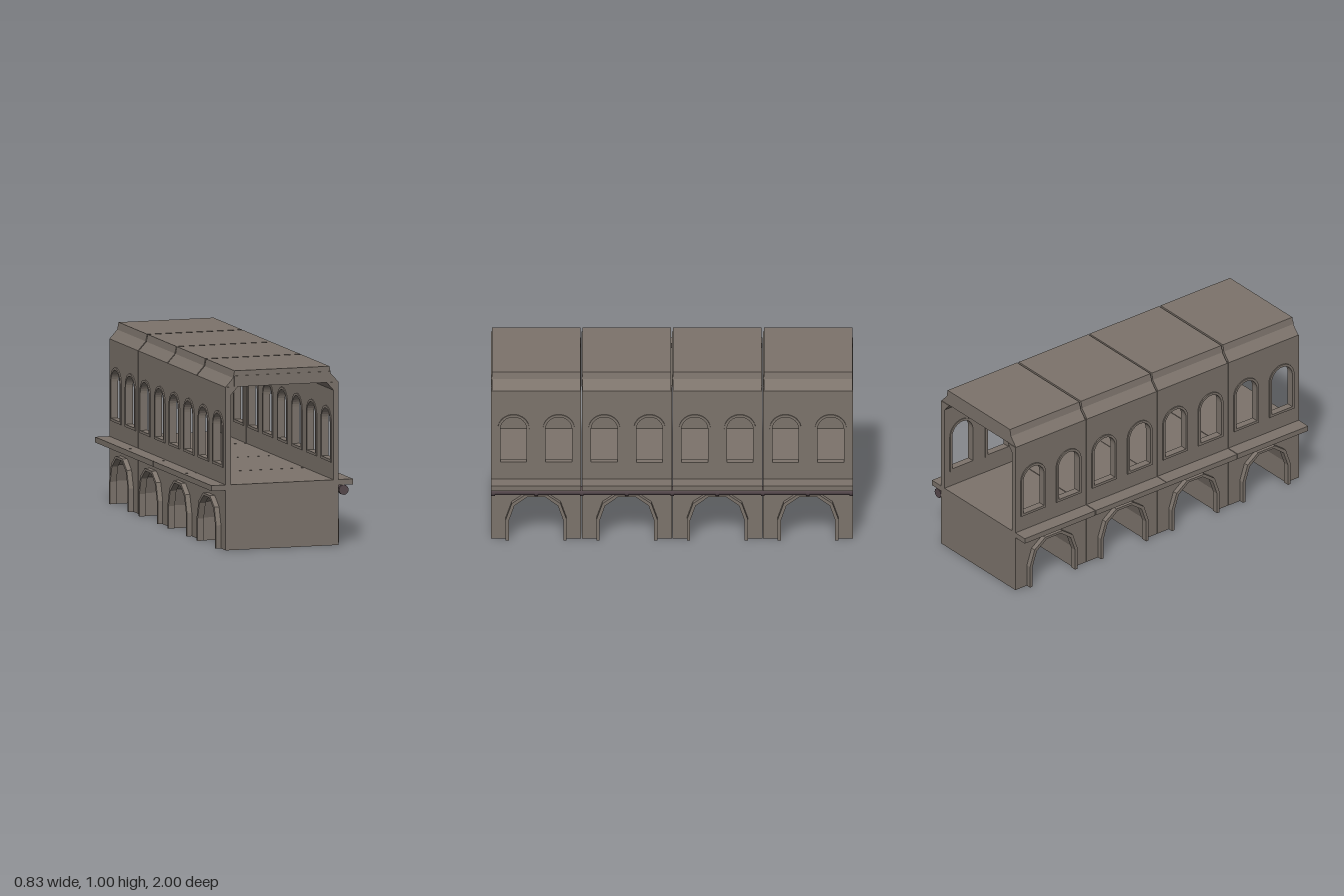
import * as THREE from 'three';

const stone = new THREE.MeshStandardMaterial({ color: 0x7c736b });
stone.name = 'weathered stone';
const iron = new THREE.MeshStandardMaterial({ color: 0x56494d });
iron.name = 'dark iron';
const timber = new THREE.MeshStandardMaterial({ color: 0x3a2416 });
timber.name = 'dark timber';
const liner = stone.clone();
liner.name = 'stone lining';
liner.side = THREE.DoubleSide;

const BAY = 0.5, LEN = 0.497;

const poly = (pts, Kind = THREE.Shape) => new Kind(pts.map(([x, y]) => new THREE.Vector2(x, y)));
// closes a half outline (x > 0, listed upwards) with its mirror image
const mirrored = (half) => [...half, ...half.slice().reverse().map(([x, y]) => [-x, y])];

function add(group, name, geometry, material, x = 0, y = 0, z = 0) {
  const mesh = new THREE.Mesh(geometry, material);
  mesh.name = name;
  mesh.position.set(x, y, z);
  group.add(mesh);
  return mesh;
}

// extrudes a shape centred on its depth; alongX turns the depth to the x axis
function extrude(shape, depth, alongX = false) {
  const g = new THREE.ExtrudeGeometry(shape, { depth, bevelEnabled: false, curveSegments: 8 });
  g.translate(0, 0, -depth / 2);
  if (alongX) g.rotateY(Math.PI / 2);
  return g;
}

// round-headed window outline
function windowOutline(Kind, u, r, bottom, spring) {
  const s = new Kind();
  s.moveTo(u - r, bottom);
  s.lineTo(u + r, bottom);
  s.lineTo(u + r, spring);
  s.absarc(u, spring, r, 0, Math.PI, false);
  s.lineTo(u - r, bottom);
  return s;
}

const archInner = [[0.15, 0], [0.15, 0.125], [0.12, 0.215], [0.05, 0.268]];
const archVault = [[0.158, 0], [0.158, 0.128], [0.127, 0.222], [0.055, 0.275]];
const archOuter = [[0.168, 0], [0.168, 0.13], [0.135, 0.228], [0.06, 0.282]];
const roofHalf = [[0.33, 0.91], [0.285, 0.96], [0.277, 1]];

function makeBay() {
  const bay = new THREE.Group();
  const h = LEN / 2;

  // arched base carrying the deck
  const base = poly([[-h, 0], [-0.158, 0],
    ...mirrored(archVault).reverse().slice(1, -1), [0.158, 0], [h, 0], [h, 0.365], [-h, 0.365]]);
  add(bay, 'archedBase', extrude(base, 0.66, true), stone);

  // raised band around each arch mouth
  const band = poly([...mirrored(archOuter), ...mirrored(archInner).reverse()]);
  const bandGeo = extrude(band, 0.036, true);

  // side wall with two windows
  const wall = poly([[-h, 0.365], [h, 0.365], [h, 0.91], [-h, 0.91]]);
  for (const u of [-0.125, 0.125]) wall.holes.push(windowOutline(THREE.Path, u, 0.08, 0.465, 0.678));
  const wallGeo = extrude(wall, 0.03, true);

  const frame = windowOutline(THREE.Shape, 0, 0.087, 0.458, 0.678);
  frame.holes.push(windowOutline(THREE.Path, 0, 0.0725, 0.473, 0.678));
  const frameGeo = extrude(frame, 0.042, true);

  for (const s of [-1, 1]) {
    add(bay, 'archBand', bandGeo, stone, s * 0.34);
    add(bay, 'sideWall', wallGeo, stone, s * 0.315);
    add(bay, 'ledge', new THREE.BoxGeometry(0.084, 0.031, LEN), stone, s * 0.371, 0.35);
    for (const u of [-0.125, 0.125]) add(bay, 'windowFrame', frameGeo, stone, s * 0.316, 0, u);
    // chamfer where the wall meets the ceiling
    const brace = poly([[s * 0.3, 0.865], [s * 0.3, 0.91], [s * 0.26, 0.91]]);
    add(bay, 'ceilingBrace', extrude(brace, LEN), stone);
  }

  // roof: solid cross beams at the ends, a hollowed section between them
  const roofLen = 0.49, wellX = 0.25, wellZ = 0.195, beam = roofLen / 2 - wellZ;
  const solid = extrude(poly(mirrored(roofHalf)), beam);
  for (const s of [-1, 1]) add(bay, 'roofBeam', solid, stone, 0, 0, s * (wellZ + beam / 2));
  const hollow = poly([...mirrored(roofHalf),
    [-wellX, 0.91], [-wellX, 0.975], [wellX, 0.975], [wellX, 0.91]]);
  add(bay, 'roofShell', extrude(hollow, wellZ * 2), stone);
  // low filler at the bottom of the joint
  add(bay, 'roofJoint', new THREE.BoxGeometry(0.56, 0.06, 0.01), stone, 0, 0.942, BAY / 2 - 0.005);

  // sloping ceiling well and its panel
  const well = new THREE.CylinderGeometry(0.78 * Math.SQRT1_2, Math.SQRT1_2, 0.055, 4, 1, true).toNonIndexed();
  well.rotateY(Math.PI / 4);
  well.scale(wellX * 2, 1, wellZ * 2);
  well.computeVertexNormals();
  add(bay, 'ceilingWell', well, liner, 0, 0.9375);
  add(bay, 'ceilingPanel', new THREE.BoxGeometry(wellX * 1.58, 0.008, wellZ * 1.58), timber, 0, 0.965);
  return bay;
}

export function createModel() {
  const model = new THREE.Group();
  model.name = 'coveredArchedBridge';

  for (let i = 0; i < 4; i++) {
    const bay = makeBay();
    bay.name = 'bridgeBay';
    bay.position.z = -0.75 + i * BAY;
    // keep the end faces flush with the overall length
    if (i === 0) bay.position.z -= 0.0015;
    if (i === 3) bay.position.z += 0.0015;
    model.add(bay);
  }

  // pipe with collars under the left ledge
  const rod = (r, len) => new THREE.CylinderGeometry(r, r, len, 12).rotateX(Math.PI / 2);
  add(model, 'pipe', rod(0.022, 2), iron, 0.36, 0.306, 0);
  for (let i = 0; i <= 8; i++) {
    const z = THREE.MathUtils.clamp(-1 + i * 0.25, -0.99, 0.99);
    add(model, 'pipeCollar', rod(0.028, 0.02), iron, 0.36, 0.306, z);
  }
  return model;
}
